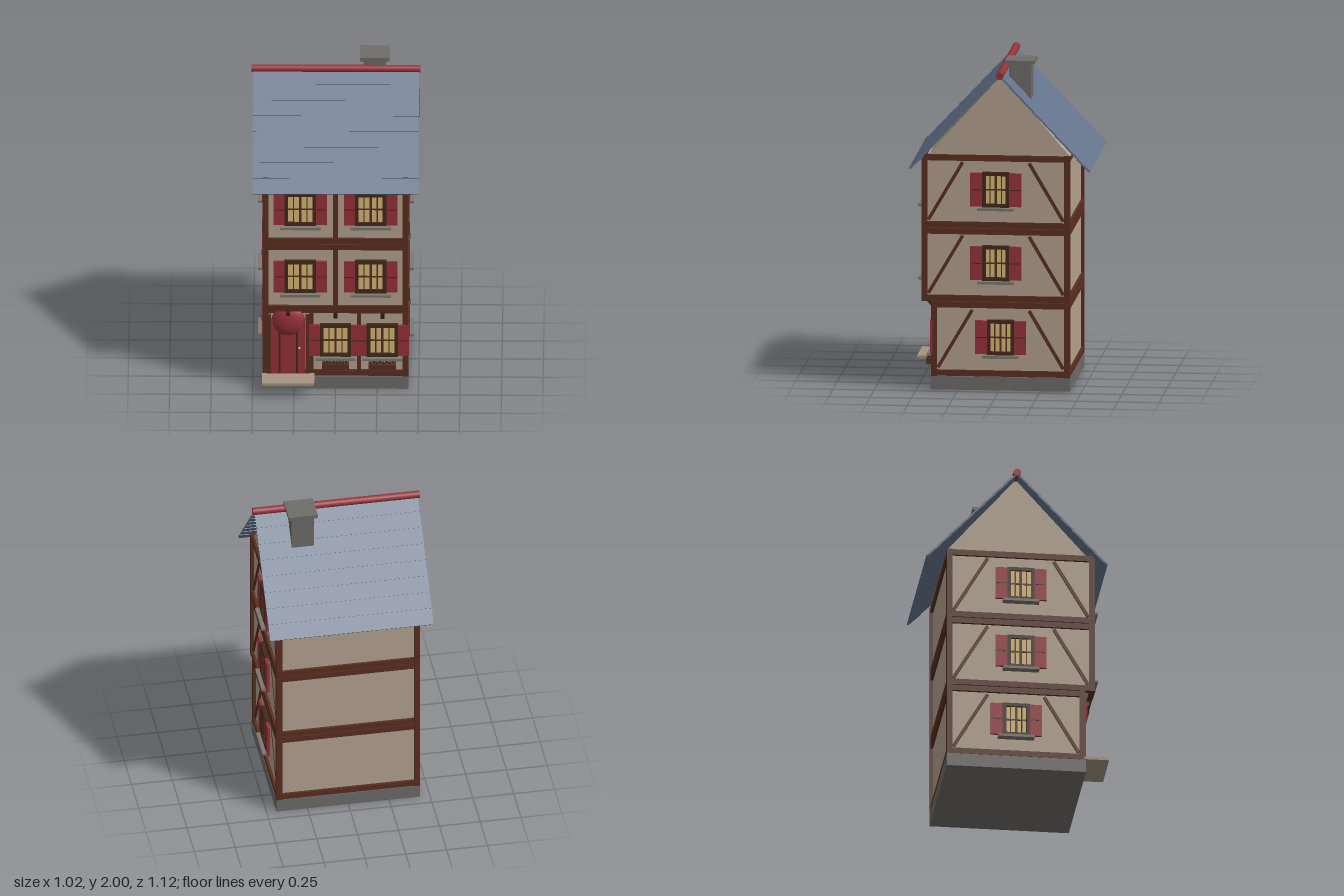
import * as THREE from 'three';

const mat = (name, color) => {
  const m = new THREE.MeshStandardMaterial({ color });
  m.name = name;
  return m;
};
const plaster = mat('plaster', 0xb5a390);
const wood = mat('timber', 0x5a2f20);
const darkWood = mat('dark timber', 0x43281c);
const red = mat('red paint', 0x98323a);
const slate = mat('slate blue', 0x64748b);
const stone = mat('stone', 0x6f6d6a);
const glass = mat('warm glass', 0xd8bb76);
const sillStone = mat('sill stone', 0x7c7771);
const stepStone = mat('step stone', 0xa5937f);
const brass = mat('brass', 0xc9b48a);

function add(parent, name, geometry, material, x = 0, y = 0, z = 0) {
  const mesh = new THREE.Mesh(geometry, material);
  mesh.name = name;
  mesh.position.set(x, y, z);
  parent.add(mesh);
  return mesh;
}
const box = (parent, name, material, w, h, d, x, y, z) =>
  add(parent, name, new THREE.BoxGeometry(w, h, d), material, x, y, z);

function group(parent, name, x = 0, y = 0, z = 0) {
  const g = new THREE.Group();
  g.name = name;
  g.position.set(x, y, z);
  parent.add(g);
  return g;
}

// Shuttered window facing +z, its origin on the wall surface
function windowUnit(parent, x, y, z, turn, w, shutterW, planter) {
  const g = group(parent, 'window', x, y, z);
  g.rotation.y = turn;
  const h = 0.215, f = 0.022;
  box(g, 'glass', glass, w - f, h - f, 0.008, 0, 0, 0.008);
  for (const s of [-1, 1]) {
    box(g, 'frameSide', darkWood, f, h, 0.024, s * (w - f) / 2, 0, 0.012);
    box(g, 'frameRail', darkWood, w, f, 0.024, 0, s * (h - f) / 2, 0.012);
    box(g, 'glazingBar', wood, 0.007, h - f, 0.009, s * w * 0.21, 0, 0.011);
    // Shutters with a dark middle rail
    const sx = s * (w + shutterW) / 2;
    box(g, 'shutter', red, shutterW, 0.205, 0.016, sx, 0, 0.016);
    box(g, 'shutterRail', darkWood, shutterW * 0.85, 0.006, 0.002, sx, 0, 0.0245);
  }
  box(g, 'mullion', wood, 0.014, h - f, 0.014, 0, 0, 0.012);
  box(g, 'crossBar', wood, w - f, 0.009, 0.01, 0, 0, 0.012);
  box(g, 'sill', sillStone, w + 0.055, 0.016, 0.048, 0, -0.117, 0.024);
  if (planter) {
    box(g, 'planter', wood, 0.165, 0.036, 0.045, 0, -0.163, 0.034);
    for (let i = 0; i < 8; i++) {
      add(g, 'plant', new THREE.IcosahedronGeometry(0.011, 0), darkWood,
        -0.067 + i * 0.019, -0.14 + (i % 2) * 0.008, 0.038);
    }
  }
}

// One storey: plaster box, edge beams, side braces and side windows
function storey(parent, name, y0, y1, zFront) {
  const zBack = -0.43, t = 0.036, X = 0.44, inset = 0.018;
  const h = y1 - y0, d = zFront - zBack, zc = (zFront + zBack) / 2, yc = (y0 + y1) / 2;
  const g = group(parent, name);
  box(g, 'walls', plaster, 2 * (X - inset), h - 0.01, d - 2 * inset, 0, yc, zc);
  for (const a of [-1, 1]) {
    for (const b of [-1, 1]) {
      box(g, 'cornerPost', wood, t, h, t, a * (X - t / 2), yc, zc + b * (d - t) / 2);
      const y = yc + a * (h / 2 - 0.02);
      box(g, 'crossBeam', wood, 2 * X - 0.004, t, t - 0.004, 0, y, zc + b * (d - t) / 2);
      box(g, 'sideBeam', wood, t - 0.004, t, d - 0.004, b * (X - t / 2), y, zc);
      // Brace leaning inward towards its foot
      const brace = box(g, 'brace', wood, 0.018, 0.41, 0.02,
        a * (X - inset), yc, zc + b * (d / 2 - 0.145));
      brace.rotation.x = b * -0.53;
    }
    windowUnit(g, a * (X - inset), yc + 0.013, zc, a * Math.PI / 2, 0.165, 0.072, false);
  }
  return g;
}

export function createModel() {
  const house = new THREE.Group();
  house.name = 'timberFramedHouse';

  box(house, 'foundation', stone, 0.88, 0.082, 0.845, 0, 0.041, -0.0075);

  const ground = storey(house, 'groundFloor', 0.082, 0.54, 0.412);
  const uppers = [storey(house, 'middleFloor', 0.54, 0.99, 0.47),
    storey(house, 'topFloor', 0.99, 1.44, 0.47)];

  // Upper front windows and middle posts
  uppers.forEach((floor, i) => {
    const yc = 0.765 + i * 0.45;
    box(floor, 'middlePost', wood, 0.028, 0.44, 0.022, 0, yc, 0.455);
    for (const s of [-1, 1]) windowUnit(floor, s * 0.212, yc + 0.01, 0.452, 0, 0.19, 0.066, false);
  });

  // Ground floor front: posts, windows with planters, corbels
  for (const x of [-0.145, 0.14]) box(ground, 'frontPost', wood, 0.024, 0.42, 0.022, x, 0.31, 0.398);
  for (const x of [0, 0.282]) windowUnit(ground, x, 0.322, 0.394, 0, 0.188, 0.066, true);
  const corbelShape = new THREE.Shape([[0, 0], [0, 0.07], [0.042, 0.07], [0.042, 0.05]]
    .map(([x, y]) => new THREE.Vector2(x, y)));
  for (const x of [-0.285, 0, 0.282]) {
    const corbel = add(ground, 'corbel',
      new THREE.ExtrudeGeometry(corbelShape, { depth: 0.024, bevelEnabled: false }),
      darkWood, x + 0.012, 0.465, 0.41);
    corbel.rotation.y = -Math.PI / 2;
  }

  // Door with rounded hood, grooves and knob
  const door = group(ground, 'door', -0.285, 0, 0.394);
  box(door, 'doorLeaf', red, 0.205, 0.37, 0.02, 0, 0.28, 0.012);
  const hood = add(door, 'doorHood', new THREE.SphereGeometry(0.1, 24, 16), red, 0, 0.45, 0.008);
  hood.scale.z = 0.4;
  for (const s of [-1, 1]) {
    box(door, 'doorGroove', darkWood, 0.012, 0.28, 0.004, s * 0.053, 0.245, 0.023);
    box(door, 'doorJamb', wood, 0.024, 0.4, 0.026, s * 0.115, 0.29, 0.01);
  }
  add(door, 'doorKnob', new THREE.SphereGeometry(0.008, 10, 8), brass, 0.066, 0.272, 0.028);
  box(house, 'doorstep', stepStone, 0.315, 0.016, 0.15, -0.285, 0.092, 0.48);

  // Gable block under the roof
  const gableShape = new THREE.Shape([[-0.425, 1.435], [0.43, 1.435], [0.01, 1.925]]
    .map(([x, y]) => new THREE.Vector2(x, y)));
  const gable = add(house, 'gable',
    new THREE.ExtrudeGeometry(gableShape, { depth: 0.844, bevelEnabled: false }), plaster, -0.422, 0, 0);
  gable.rotation.y = Math.PI / 2;

  // Roof slopes made of overlapping slate courses
  const courses = 8, length = 0.79, step = length / courses;
  for (const turn of [0, Math.PI]) {
    const side = group(house, 'roofSide', 0, 1.935, -0.01);
    side.rotation.y = turn;
    const slope = group(side, 'roofSlope');
    slope.rotation.x = Math.atan2(0.58, 0.547);
    for (let i = 0; i < courses; i++) {
      const course = box(slope, 'slateCourse', slate, 1, 0.011, step + 0.008, 0, 0, (i + 0.5) * step);
      course.rotation.x = -0.04;
    }
  }
  const ridge = add(house, 'ridgeCap', new THREE.CylinderGeometry(0.023, 0.023, 1.02, 16), red, 0, 1.937, -0.01);
  ridge.rotation.z = Math.PI / 2;

  // Chimney
  box(house, 'chimney', stone, 0.135, 0.28, 0.135, 0.234, 1.84, -0.113);
  box(house, 'chimneyNeck', stone, 0.15, 0.012, 0.15, 0.234, 1.972, -0.113);
  box(house, 'chimneyCap', stone, 0.178, 0.022, 0.178, 0.234, 1.989, -0.113);

  return house;
}
